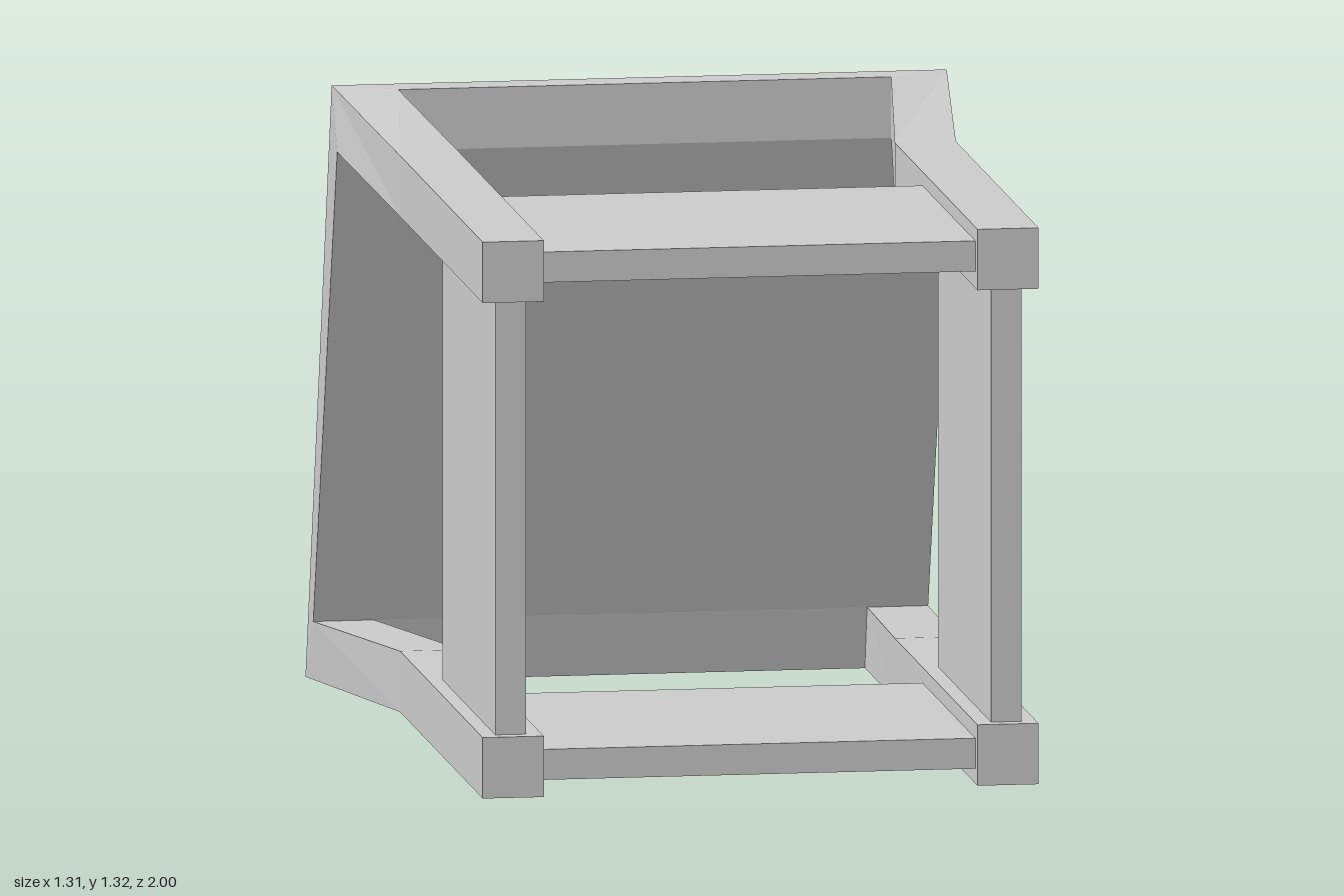
import * as THREE from 'three';

const material = new THREE.MeshStandardMaterial({ color: 0xcccccc, flatShading: true });

// Skins a row of matching point loops and closes both ends.
function loft(sections) {
  const pos = [];
  const tri = (a, b, c) => {
    const t = new THREE.Triangle(...[a, b, c].map((p) => new THREE.Vector3(...p)));
    if (t.getArea() > 1e-7) pos.push(...a, ...b, ...c);
  };
  const n = sections[0].length;
  for (let k = 0; k < sections.length - 1; k++) {
    const p = sections[k], q = sections[k + 1];
    for (let i = 0; i < n; i++) {
      const j = (i + 1) % n;
      tri(p[i], p[j], q[j]);
      tri(p[i], q[j], q[i]);
    }
  }
  const first = sections[0], last = sections[sections.length - 1];
  for (let i = 1; i < n - 1; i++) {
    tri(first[0], first[i + 1], first[i]);
    tri(last[0], last[i], last[i + 1]);
  }
  const g = new THREE.BufferGeometry();
  g.setAttribute('position', new THREE.Float32BufferAttribute(pos, 3));
  g.computeVertexNormals();
  return g;
}

export function createModel() {
  const group = new THREE.Group();
  const add = (name, geometry, x = 0, y = 0, z = 0) => {
    const mesh = new THREE.Mesh(geometry, material);
    mesh.name = name;
    mesh.position.set(x, y, z);
    group.add(mesh);
  };

  const xi = 0.462, xo = 0.592;   // straight rail, inner and outer
  const fi = 0.525, fo = 0.655;   // flared rail end, inner and outer

  // Straight rails that flare outward to the corners of the back panel
  const square = (z, yb, yt) => [[xi, yb, z], [xo, yb, z], [xo, yt, z], [xi, yt, z]];
  const upperEnd = [[fi, 1.19, -0.57], [fo, 1.19, -0.57], [fo, 1.32, -0.645], [fi, 1.32, -0.57]];
  const lowerEnd = [[fi, 0, -0.925], [fo, 0, -1], [fo, 0.135, -0.895], [fi, 0.135, -0.895]];
  const rails = [
    ['upper', [upperEnd, square(-0.12, 1.125, 1.255), square(1, 1.125, 1.255)]],
    ['lower', [lowerEnd, square(-0.12, 0.068, 0.198), square(1, 0.068, 0.198)]],
  ];
  for (const [level, sections] of rails) {
    add(level + 'LeftRail', loft(sections));
    const mirrored = sections.map((s) => s.map(([x, y, z]) => [-x, y, z]).reverse());
    add(level + 'RightRail', loft(mirrored));
  }

  // Sloping back panel, its front corners cut where the rails meet it
  const profile = (x, lowZ, highZ) => [
    [x, 0, lowZ], [x, 0, -1], [x, 1.32, -0.645],
    [x, 1.32, highZ], [x, 1.19, -0.57], [x, 0.135, -0.895],
  ];
  add('backPanel', loft([
    profile(-fo, -1, -0.645), profile(-fi, -0.925, -0.57),
    profile(fi, -0.925, -0.57), profile(fo, -1, -0.645),
  ]));

  // Four flat panels between the rails
  const depth = 0.716, zc = 0.612;
  for (const [name, y] of [['upperShelf', 1.193], ['lowerShelf', 0.132]]) {
    add(name, new THREE.BoxGeometry(2 * xi, 0.065, depth), 0, y, zc);
  }
  for (const [name, s] of [['leftSidePanel', 1], ['rightSidePanel', -1]]) {
    add(name, new THREE.BoxGeometry(0.065, 0.927, depth), s * 0.528, 0.6615, zc);
  }
  return group;
}
